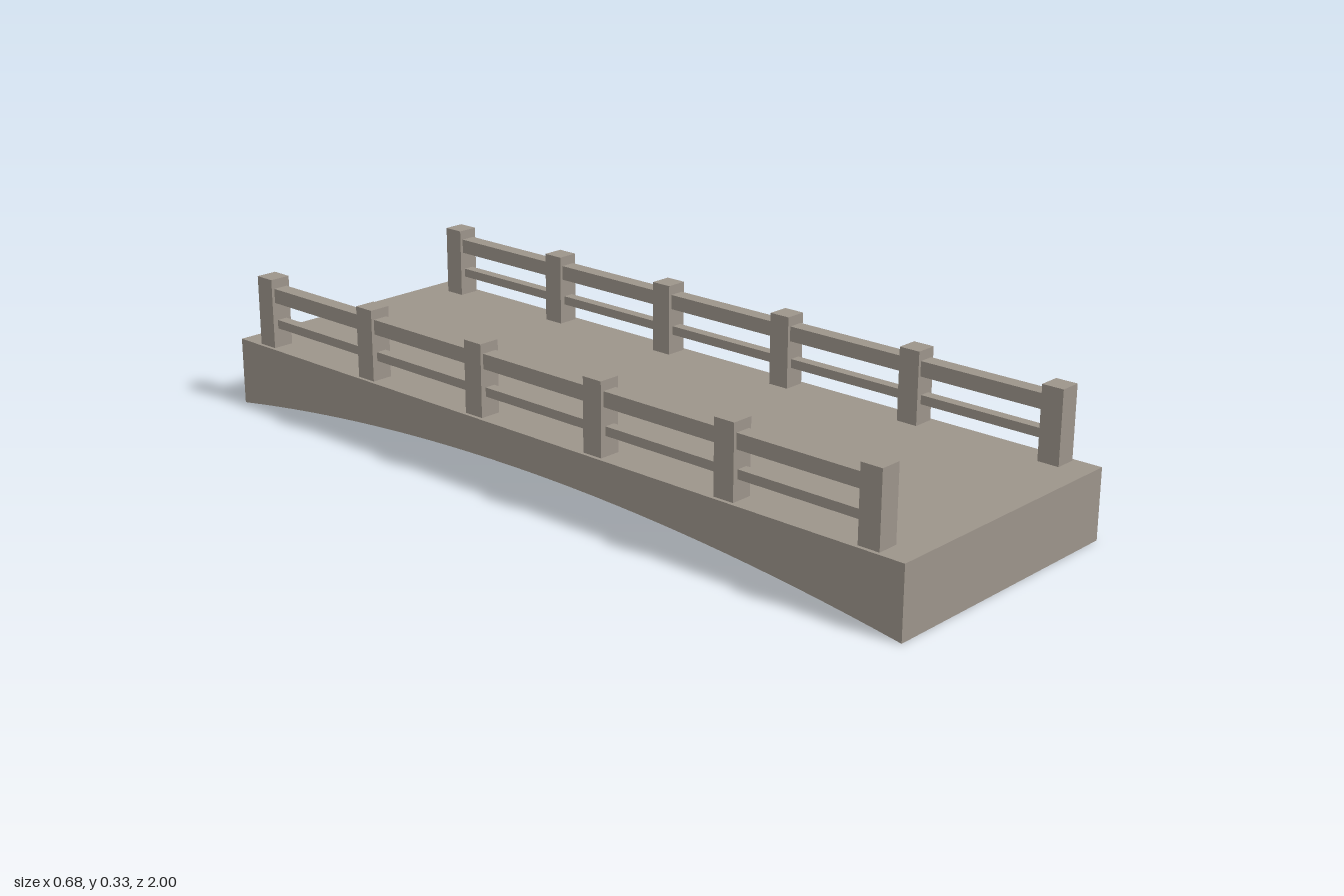
import * as THREE from 'three';

const DECK_TOP = 0.164, HALF_WIDTH = 0.34, ARCH_RISE = 0.081;
const POST_X = 0.305, POST_COUNT = 6, POST_END = 0.908;

export function createModel() {
  const bridge = new THREE.Group();
  bridge.name = 'bridge';
  const stone = new THREE.MeshStandardMaterial({ color: 0x9c948a });
  stone.name = 'warm grey stone';

  // Deck: flat top with a shallow arch underneath, extruded across x
  const profile = new THREE.Shape();
  profile.moveTo(-1, 0);
  profile.quadraticCurveTo(0, 2 * ARCH_RISE, 1, 0);
  profile.lineTo(1, DECK_TOP);
  profile.lineTo(-1, DECK_TOP);
  profile.closePath();
  const deckGeometry = new THREE.ExtrudeGeometry(profile, {
    depth: 2 * HALF_WIDTH, bevelEnabled: false, curveSegments: 32,
  });
  deckGeometry.translate(0, 0, -HALF_WIDTH);
  deckGeometry.rotateY(Math.PI / 2);
  const deck = new THREE.Mesh(deckGeometry, stone);
  deck.name = 'archedDeck';
  bridge.add(deck);

  // Box given by its bottom and top heights
  function addBox(parent, name, width, bottom, top, depth, z) {
    const mesh = new THREE.Mesh(new THREE.BoxGeometry(width, top - bottom, depth), stone);
    mesh.position.set(0, (bottom + top) / 2, z);
    mesh.name = name;
    parent.add(mesh);
  }

  // A railing on each side: posts joined by two rails
  for (const side of [-1, 1]) {
    const railing = new THREE.Group();
    railing.name = side > 0 ? 'leftRailing' : 'rightRailing';
    railing.position.x = side * POST_X;
    for (let i = 0; i < POST_COUNT; i++) {
      const z = -POST_END + (2 * POST_END * i) / (POST_COUNT - 1);
      addBox(railing, 'post', 0.052, DECK_TOP, 0.334, 0.052, z);
    }
    addBox(railing, 'upperRail', 0.037, 0.276, 0.311, 2 * POST_END, 0);
    addBox(railing, 'lowerRail', 0.026, 0.211, 0.232, 2 * POST_END, 0);
    bridge.add(railing);
  }
  return bridge;
}
